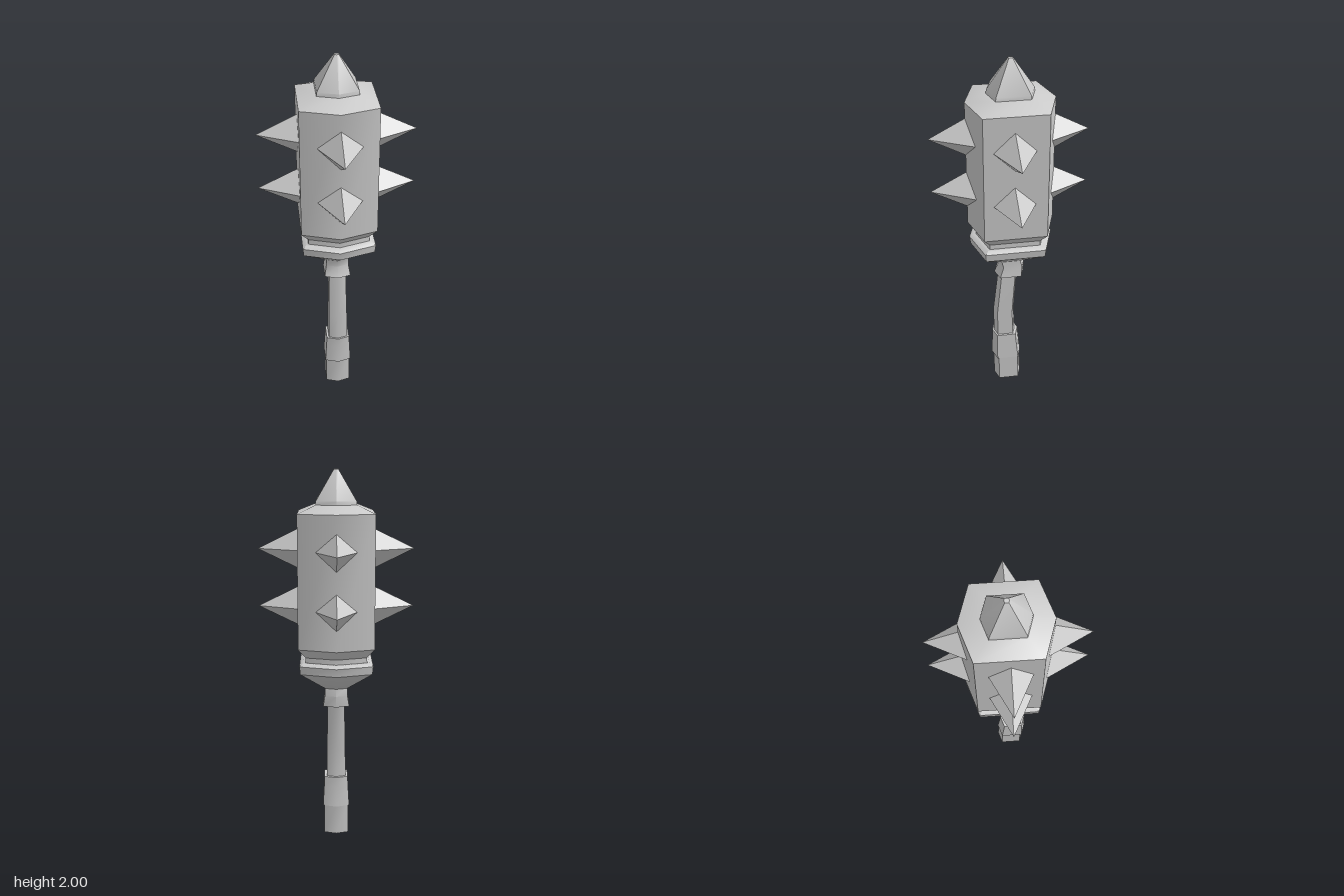
import * as THREE from 'three';
import { toCreasedNormals } from 'three/addons/utils/BufferGeometryUtils.js';

const material = new THREE.MeshStandardMaterial({ color: 0xcccccc });

// Flattened hexagon outline with its points on the z axis, in units of the radius
const HEX = [[0, 1], [0.87, 0.72], [0.87, -0.72], [0, -1], [-0.87, -0.72], [-0.87, 0.72]];

// Closed hexagonal loft; each ring is [y, radius, zCentre], from bottom to top
function loft(name, rings) {
  const n = HEX.length;
  const pos = [];
  const index = [];
  for (const [y, r, zc] of rings) {
    for (const [hx, hz] of HEX) pos.push(hx * r, y, zc + hz * r);
  }
  for (let k = 0; k < rings.length - 1; k++) {
    for (let i = 0; i < n; i++) {
      const a = k * n + i;
      const b = k * n + (i + 1) % n;
      index.push(a, b, b + n, a, b + n, a + n);
    }
  }
  // End caps
  const top = (rings.length - 1) * n;
  for (let i = 1; i < n - 1; i++) {
    index.push(0, i + 1, i, top, top + i, top + i + 1);
  }
  const geometry = new THREE.BufferGeometry();
  geometry.setAttribute('position', new THREE.Float32BufferAttribute(pos, 3));
  geometry.setIndex(index);
  const mesh = new THREE.Mesh(toCreasedNormals(geometry, 0.65), material);
  mesh.name = name;
  return mesh;
}

// Four-sided spike pointing outwards, its base buried in the head
function sideSpike(y, turn, rise) {
  const base = 0.12, tip = 0.413, length = tip - base;
  const geometry = new THREE.ConeGeometry(1, length, 4).toNonIndexed();
  geometry.scale(length * 0.507, 1, length * rise);
  geometry.rotateX(Math.PI / 2);
  geometry.translate(0, 0, base + length / 2);
  geometry.rotateY(turn * Math.PI / 2);
  geometry.translate(0, y, 0);
  geometry.computeVertexNormals();
  const mesh = new THREE.Mesh(geometry, material);
  mesh.name = 'sideSpike';
  return mesh;
}

export function createModel() {
  const model = new THREE.Group();
  model.name = 'spikedMace';
  const c = -0.007; // head centre in z

  // Handle, from the pommel up
  const handle = new THREE.Group();
  handle.name = 'handle';
  handle.add(
    loft('pommel', [[0, 0.077, 0.012], [0.17, 0.075, 0.015]]),
    loft('lowerGripBand', [[0.16, 0.083, 0.018], [0.27, 0.076, 0.023], [0.325, 0.073, 0.025]]),
    loft('bentShaft', [[0.3, 0.06, 0.028], [0.48, 0.058, 0.032], [0.76, 0.052, 0.008]]),
    loft('upperGripBand', [[0.74, 0.081, 0.001], [0.8, 0.07, -0.012], [0.85, 0.07, 0]])
  );

  // Head with its flared collar, faceted body and pointed finial
  const head = new THREE.Group();
  head.name = 'head';
  head.add(
    loft('collar', [[0.84, 0.068, c], [0.945, 0.218, c], [0.988, 0.223, c], [1.003, 0.2, c]]),
    loft('headBody', [[0.99, 0.188, c], [1.03, 0.186, c], [1.08, 0.23, c], [1.78, 0.23, c], [1.822, 0.12, c]]),
    loft('topSpike', [[1.815, 0.124, c], [1.84, 0.121, c], [2, 0.013, c]])
  );

  // Two rows of four spikes
  for (const y of [1.285, 1.59]) {
    for (let i = 0; i < 4; i++) head.add(sideSpike(y, i, i % 2 ? 0.49 : 0.54));
  }

  model.add(handle, head);
  return model;
}
